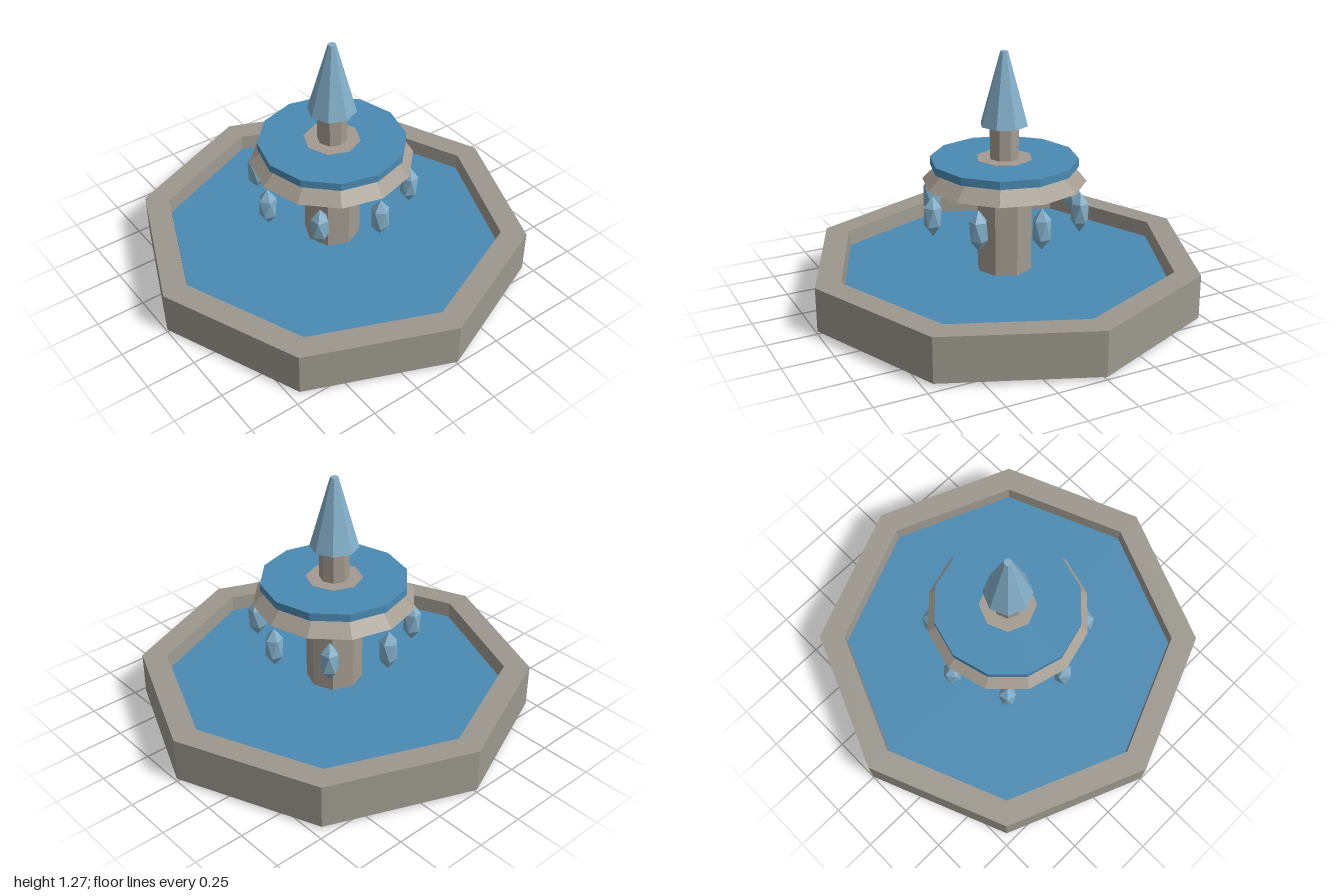
import * as THREE from 'three';

const material = (name, color) => {
  const m = new THREE.MeshStandardMaterial({ color, flatShading: true });
  m.name = name;
  return m;
};

export function createModel() {
  const group = new THREE.Group();
  const stone = material('grey stone', 0x9c988e);
  const paleStone = material('warm stone', 0xa39b90);
  const water = material('water blue', 0x4a8ab2);
  const crystal = material('crystal blue', 0x82aec8);

  const add = (name, geometry, mat, parent = group) => {
    const mesh = new THREE.Mesh(geometry, mat);
    mesh.name = name;
    parent.add(mesh);
    return mesh;
  };
  // Faceted prism or frustum between two heights
  const frustum = (name, rBottom, rTop, y0, y1, sides, mat) => {
    const mesh = add(name, new THREE.CylinderGeometry(rTop, rBottom, y1 - y0, sides), mat);
    mesh.position.y = (y0 + y1) / 2;
    return mesh;
  };

  // Octagonal pool with a recessed foot and a hollow inside
  const profile = [
    [0, 0], [0.945, 0], [0.945, 0.015], [1, 0.015], [1, 0.24],
    [0.87, 0.24], [0.862, 0.13], [0, 0.13],
  ].map(([x, y]) => new THREE.Vector2(x, y));
  add('basin', new THREE.LatheGeometry(profile, 8), stone);
  frustum('poolWater', 0.863, 0.863, 0.12, 0.16, 8, water);

  // Central column, upper bowl and its water
  frustum('column', 0.143, 0.143, 0.14, 0.741, 8, paleStone);
  frustum('upperBowl', 0.41, 0.335, 0.625, 0.7, 12, paleStone);
  frustum('upperWater', 0.37, 0.37, 0.7, 0.74, 12, water);

  // Spire on its neck
  frustum('spireNeck', 0.075, 0.075, 0.73, 0.92, 8, paleStone);
  frustum('spire', 0.122, 0.02, 0.91, 1.275, 8, crystal);

  // Ring of hanging drops: stretched icosahedra standing on a corner
  const dropShape = new THREE.IcosahedronGeometry(1, 0);
  dropShape.rotateZ(-Math.atan(2 / (1 + Math.sqrt(5))));
  dropShape.scale(0.05, 0.105, 0.05);
  const drops = new THREE.Group();
  drops.name = 'drops';
  group.add(drops);
  for (let i = 0; i < 8; i++) {
    const a = (i * Math.PI) / 4;
    const drop = add('drop', dropShape, crystal, drops);
    drop.position.set(0.39 * Math.cos(a), 0.497, 0.39 * Math.sin(a));
    drop.rotation.y = -a;
  }
  return group;
}
